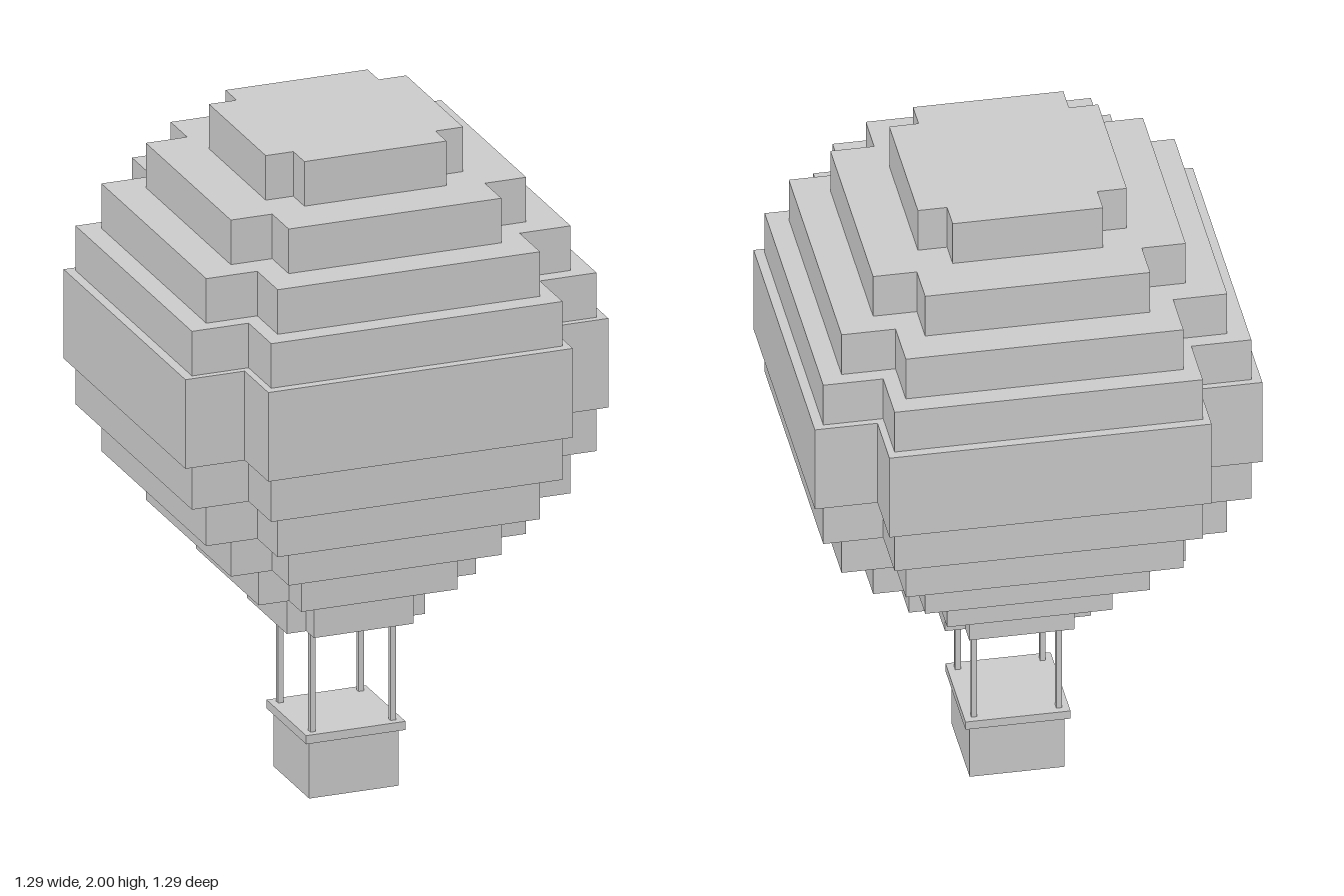
import * as THREE from 'three';

const material = new THREE.MeshStandardMaterial({ color: 0xcccccc, flatShading: true });

function add(parent, name, geometry, x = 0, y = 0, z = 0) {
  const mesh = new THREE.Mesh(geometry, material);
  mesh.name = name;
  mesh.position.set(x, y, z);
  parent.add(mesh);
  return mesh;
}

// Square slab with a notch cut from every corner, resting on y = 0
function notchedSlab(half, height) {
  const a = half, b = half * 0.72;
  const outline = [
    [a, -b], [a, b], [b, b], [b, a], [-b, a], [-b, b],
    [-a, b], [-a, -b], [-b, -b], [-b, -a], [b, -a], [b, -b],
  ].map(([x, y]) => new THREE.Vector2(x, y));
  const geometry = new THREE.ExtrudeGeometry(new THREE.Shape(outline), { depth: height, bevelEnabled: false });
  return geometry.rotateX(-Math.PI / 2);
}

export function createModel() {
  const model = new THREE.Group();
  model.name = 'hotAirBalloon';

  // Envelope: stacked tiers, [half width, height in steps], bottom to top
  const envelope = new THREE.Group();
  envelope.name = 'envelope';
  model.add(envelope);
  const bottom = 0.515, step = (2 - bottom) / 11;
  const tiers = [
    [0.21, 1], [0.33, 1], [0.449, 1], [0.554, 1], [0.615, 1], [0.643, 2],
    [0.615, 1], [0.554, 1], [0.449, 1], [0.3, 1],
  ];
  let y = bottom;
  tiers.forEach(([half, steps], i) => {
    add(envelope, `envelopeTier${i + 1}`, notchedSlab(half, steps * step), 0, y, 0);
    y += steps * step;
  });

  // Basket with a wider rim
  const basket = new THREE.Group();
  basket.name = 'basket';
  model.add(basket);
  add(basket, 'basketBody', new THREE.BoxGeometry(0.272, 0.172, 0.272), 0, 0.086, 0);
  add(basket, 'basketRim', new THREE.BoxGeometry(0.302, 0.026, 0.302), 0, 0.185, 0);

  // Four corner ropes
  const ropeBottom = 0.198;
  const rope = new THREE.BoxGeometry(0.016, bottom - ropeBottom, 0.016);
  for (const x of [-0.122, 0.122]) {
    for (const z of [-0.122, 0.122]) {
      add(model, 'rope', rope, x, (bottom + ropeBottom) / 2, z);
    }
  }
  return model;
}
